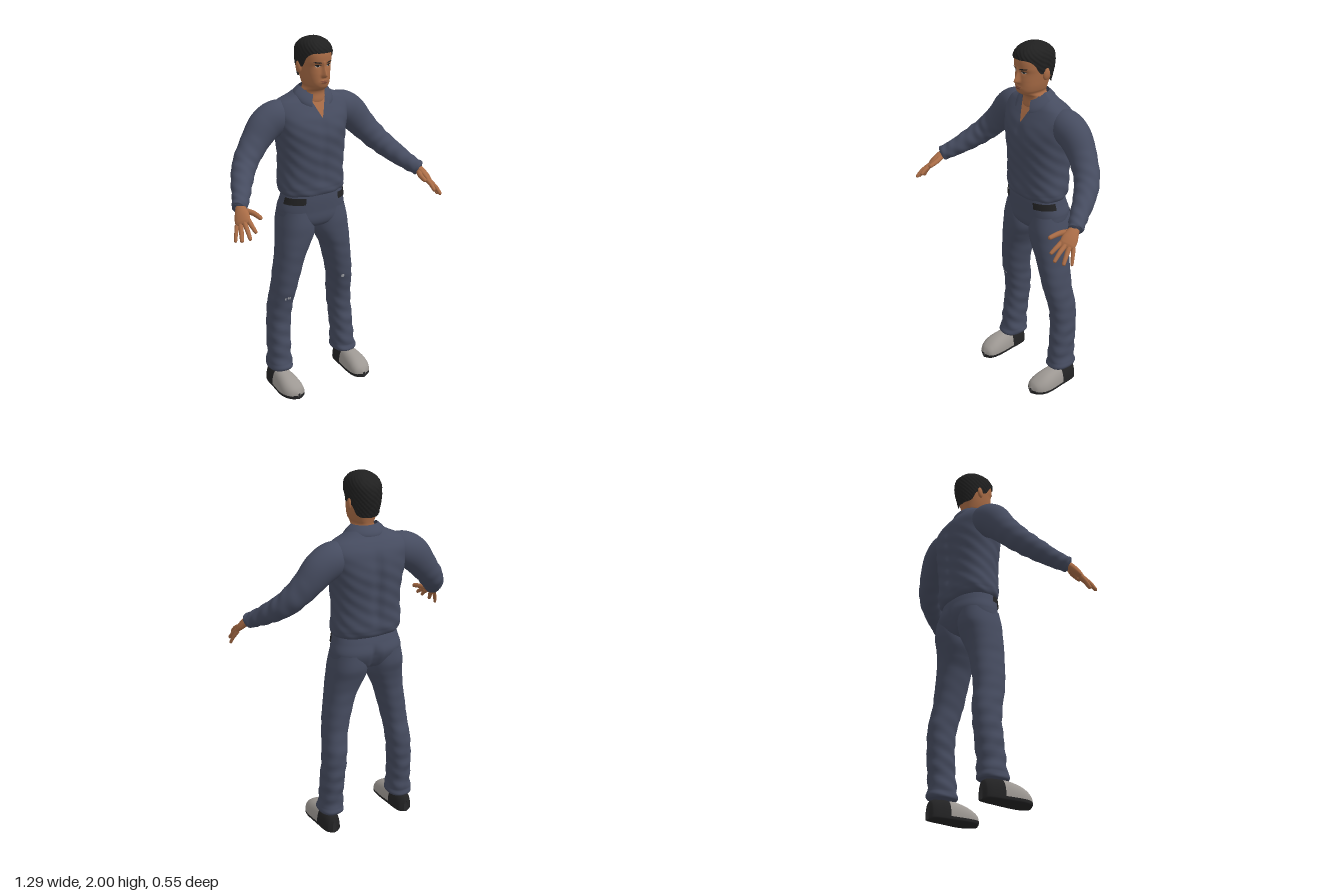
import * as THREE from 'three';
import { ParametricGeometry } from 'three/addons/geometries/ParametricGeometry.js';

const mat = (name, color) => new THREE.MeshStandardMaterial({ name, color, side: THREE.DoubleSide });
const { clamp, smoothstep } = THREE.MathUtils;
const V = (x, y, z) => new THREE.Vector3(x, y, z);
const bell = (d, w) => Math.exp(-(d / w) * (d / w));
const E = 0.85; // squareness of the cross-sections

// Smoothly interpolates a table whose first column ascends
function rowAt(rows, y) {
  let i = 0;
  while (i < rows.length - 2 && y > rows[i + 1][0]) i++;
  const p = rows[i], q = rows[i + 1];
  const a = rows[Math.max(i - 1, 0)], b = rows[Math.min(i + 2, rows.length - 1)];
  const h = q[0] - p[0], t = clamp((y - p[0]) / h, 0, 1);
  return p.map((_, k) => {
    const m0 = (q[k] - a[k]) / (q[0] - a[0]) * h, m1 = (b[k] - p[k]) / (b[0] - p[0]) * h;
    return (2 * t ** 3 - 3 * t * t + 1) * p[k] + (t ** 3 - 2 * t * t + t) * m0
      + (3 * t * t - 2 * t ** 3) * q[k] + (t ** 3 - t * t) * m1;
  });
}
const rowPosition = (rows, v) => {
  const s = v * (rows.length - 1), i = Math.min(Math.floor(s), rows.length - 2);
  return rows[i][0] + (rows[i + 1][0] - rows[i][0]) * (s - i);
};

// Body form from rows of [y, half width, front z, back z, centre x]; angle 0 faces front
function form(rows, mod, side = 1) {
  const point = (angle, y, off = 0) => {
    const [, rx, f, b, cx = 0] = rowAt(rows, y), s = Math.sin(angle), c = Math.cos(angle);
    const p = V(cx * side + (rx + off) * Math.sign(s) * Math.abs(s) ** E, y,
      (f + b) / 2 + ((f - b) / 2 + off) * Math.sign(c) * Math.abs(c) ** E);
    if (mod) mod(p, angle);
    return p;
  };
  const angleAt = (x, y) => {
    const [, rx, , , cx = 0] = rowAt(rows, y), k = (x - cx * side) / rx;
    return Math.sign(k) * Math.asin(Math.min(1, Math.abs(k) ** (1 / E)));
  };
  return { rows, point, front: (x, y, off) => point(angleAt(x, y), y, off) };
}
const surface = (fn, nu, nv) => new ParametricGeometry((u, v, t) => t.copy(fn(u, v)), nu, nv);
const skinOf = (f, nu = 64, per = 6) =>
  surface((u, v) => f.point(u * Math.PI * 2, rowPosition(f.rows, v)), nu, per * (f.rows.length - 1));
// Thin oval lying on the front of a form
const decal = (f, x, y, w, h, off = 0.002, tilt = 0) => surface((u, v) => {
  const a = -u * Math.PI * 2, r = 0.02 + 0.98 * v, dx = w * r * Math.cos(a);
  return f.front(x + dx, y + h * r * Math.sin(a) + tilt * dx, off);
}, 20, 4);
// Limb along a curve; each point is [x, y, z, radius along ref, other radius]
function limb(pts, ref, side, nu = 32, nv = 48, mod) {
  const curve = new THREE.CatmullRomCurve3(pts.map(p => V(p[0] * side, p[1], p[2])));
  const radii = pts.map((p, i) => [i, p[3], p[4] ?? p[3]]);
  const r0 = V(ref[0] * side, ref[1], ref[2]);
  return surface((u, v) => {
    const t = curve.getTangent(v), b = r0.clone().addScaledVector(t, -t.dot(r0)).normalize();
    const n = t.clone().cross(b), a = u * Math.PI * 2;
    const [, ra, rb] = rowAt(radii, v * (pts.length - 1));
    const k = mod ? mod(v, a) : 0;
    return curve.getPoint(v).addScaledVector(b, (ra + k) * Math.cos(a)).addScaledVector(n, (rb + k) * Math.sin(a));
  }, nu, nv);
}

const HEAD = [[1.6, .06, -.05, -.16], [1.66, .064, -.035, -.16], [1.715, .06, -.034, -.155], [1.737, .052, .004, -.155],
  [1.755, .06, .015, -.158], [1.78, .067, .017, -.164], [1.81, .072, .016, -.175], [1.85, .077, .013, -.185],
  [1.88, .079, .02, -.188], [1.93, .077, .015, -.185], [1.96, .06, -.01, -.16], [1.98, .01, -.08, -.1]];
const HAIR = [[1.74, .062, -.03, -.165], [1.8, .077, .004, -.182], [1.85, .083, .019, -.196], [1.9, .086, .027, -.203],
  [1.94, .083, .024, -.197], [1.97, .068, .002, -.17], [1.99, .04, -.035, -.13], [2, .003, -.08, -.088]];
const HAIRLINE = [[0, 1.925], [40, 1.922], [62, 1.9], [78, 1.852], [92, 1.845], [108, 1.835], [125, 1.79], [180, 1.775]];
const SHIRT = [[1.147, .15, -.02, -.2], [1.152, .18, .004, -.23], [1.19, .191, .012, -.25], [1.23, .19, .012, -.255],
  [1.3, .185, .016, -.258], [1.4, .19, .022, -.265], [1.5, .204, .024, -.272], [1.57, .22, .006, -.264],
  [1.62, .225, -.02, -.25], [1.66, .195, -.042, -.225], [1.69, .13, -.055, -.2], [1.72, .08, -.055, -.18]];
const PELVIS = [[.94, .02, -.08, -.15], [.965, .12, -.025, -.2], [1, .185, -.002, -.228], [1.06, .197, .002, -.25],
  [1.12, .183, .005, -.236], [1.17, .172, .003, -.22]];
const LEG = [[.105, .03, -.09, -.15, .218], [.112, .066, -.04, -.198, .218], [.15, .066, -.044, -.2, .217],
  [.2, .062, -.05, -.2, .215], [.3, .062, -.06, -.21, .212], [.4, .064, -.068, -.216, .205], [.5, .064, -.058, -.218, .197],
  [.6, .066, -.034, -.2, .185], [.7, .072, -.02, -.198, .168], [.8, .079, -.01, -.2, .147], [.86, .091, -.004, -.206, .13],
  [.92, .102, -.001, -.22, .112], [.98, .1, 0, -.237, .107], [1.06, .09, -.01, -.235, .1]];
const SHOE = [[-.2, .23, .012, .07], [-.185, .23, .038, .1], [-.13, .23, .052, .116], [-.08, .23, .056, .118],
  [-.03, .23, .062, .112], [.02, .23, .065, .1], [.06, .227, .06, .082], [.09, .223, .042, .06], [.105, .222, .008, .035]];

export function createModel() {
  const M = {
    cloth: mat('navy cloth', 0x464c60), skin: mat('skin', 0xa96c46), hair: mat('black hair', 0x202020),
    belt: mat('black leather', 0x232324), shoe: mat('grey shoe', 0x9d9893), lips: mat('lips', 0x834c38),
    white: mat('eye white', 0xb5aaa2), patch: mat('worn cloth', 0xaeb0b6)
  };
  const model = new THREE.Group();
  const add = (name, geo, material, parent = model) => {
    const mesh = new THREE.Mesh(geo, material);
    mesh.name = name;
    parent.add(mesh);
    return mesh;
  };

  // Shirt with spine groove and soft folds
  const shirt = form(SHIRT, (p, a) => {
    const mid = smoothstep(p.y, 1.16, 1.3) * (1 - smoothstep(p.y, 1.5, 1.66));
    if (Math.cos(a) < 0) p.z += 0.018 * bell(p.x, .03) * mid;
    else p.z -= 0.006 * bell(p.x, .025) * mid;
    const fold = 0.0035 * Math.sin(a * 7 + p.y * 30) * Math.sin(p.y * 52 + a * 2) * (1 - smoothstep(p.y, 1.45, 1.65));
    p.x += fold * Math.sin(a);
    p.z += fold * Math.cos(a);
  });
  add('shirt', skinOf(shirt, 96), M.cloth);
  add('neckOpening', surface((u, v) =>
    shirt.front((u * 2 - 1) * (.002 + .046 * v), 1.58 + .105 * v, .004), 10, 12), M.skin);
  // Folded collar, open at the front
  add('collar', surface((u, v) => {
    const a = .5 + u * (Math.PI * 2 - 1), s = Math.sin(a), c = Math.cos(a), f = Math.max(0, c);
    const out = Math.sin(v * Math.PI / 2);
    return V(s * (.072 + .04 * out), 1.738 - .042 * f - v * (.05 + .012 * f),
      -.1 + c * ((c > 0 ? .072 : .07) + (c > 0 ? .028 : .036) * out));
  }, 60, 6), M.cloth);

  // Trousers seat, with belt showing at both front corners
  const pelvis = form(PELVIS, (p, a) => { if (Math.cos(a) < 0) p.z += .02 * bell(p.x, .02) * (1 - smoothstep(p.y, 1.04, 1.12)); });
  add('trouserSeat', skinOf(pelvis), M.cloth);

  // Head with nose and eye sockets
  const head = form(HEAD, (p, a) => {
    if (Math.cos(a) <= 0) return;
    p.z += .03 * bell(p.x, .007 + .005 * clamp((1.87 - p.y) / .06, 0, 1)) * smoothstep(p.y, 1.792, 1.808) * clamp((1.885 - p.y) / .075, 0, 1);
    p.z -= .006 * bell(Math.abs(p.x) - .032, .015) * bell(p.y - 1.858, .011);
    p.z += .005 * bell(p.x, .022) * bell(p.y - 1.773, .009);
  });
  add('head', skinOf(head, 180), M.skin);
  add('upperLip', decal(head, 0, 1.7775, .022, .0035), M.lips);
  add('lowerLip', decal(head, 0, 1.77, .018, .004), M.lips);
  const hair = form(HAIR);
  add('hair', surface((u, v) => {
    const a = u * Math.PI * 2, deg = Math.abs(u <= .5 ? u : 1 - u) * 360;
    const h = rowAt(HAIRLINE, deg)[1], y = h + (2 - h) * Math.sin(v * Math.PI / 2);
    const tuft = .002 * Math.sin(a * 17 + y * 90) * Math.sin(y * 160 + a * 5) * (1 - v * v);
    return hair.point(a, y, tuft);
  }, 120, 32), M.hair);

  const palmAcross = [.05, -.03, -.035];
  const fingers = {
    index: [[.562, 1.186, .19], [.563, 1.165, .232], [.56, 1.143, .264]],
    middle: [[.582, 1.174, .19], [.592, 1.147, .238], [.597, 1.117, .272]],
    ring: [[.598, 1.164, .178], [.614, 1.131, .212], [.626, 1.1, .238]],
    little: [[.61, 1.158, .16], [.627, 1.122, .18], [.639, 1.088, .195]],
    thumb: [[.556, 1.215, .13], [.528, 1.212, .175], [.515, 1.2, .235]]
  };

  for (const side of [1, -1]) {
    const label = side > 0 ? 'left' : 'right';
    const group = name => {
      const g = new THREE.Group();
      g.name = label + name;
      model.add(g);
      return g;
    };
    // Face details
    const face = group('FaceSide');
    add('eye', decal(head, side * .032, 1.857, .013, .0055, .0015), M.white, face);
    add('iris', decal(head, side * .031, 1.857, .0058, .0052, .003), M.hair, face);
    add('eyelid', decal(head, side * .032, 1.8625, .0155, .0022, .003), M.hair, face);
    add('eyebrow', decal(head, side * .034, 1.876, .02, .0038, .002, side * .12), M.hair, face);
    const ear = add('ear', new THREE.SphereGeometry(1, 20, 14), M.skin, face);
    ear.scale.set(.012, .032, .019);
    ear.position.set(side * .082, 1.842, -.1);
    ear.rotation.set(-.15, side * -.3, 0);

    // Sleeve
    const arm = group('Arm');
    add('sleeve', limb([[.11, 1.59, -.135, .06], [.19, 1.583, -.14, .09, .085], [.265, 1.545, -.142, .092, .082],
      [.34, 1.465, -.13, .077, .072], [.42, 1.375, -.09, .066, .066], [.475, 1.315, -.025, .058, .058],
      [.53, 1.258, .06, .046, .046], [.568, 1.227, .113, .039, .037], [.572, 1.224, .118, .022, .02]],
      [.7, .7, 0], side, 40, 80, (v, a) => .0025 * Math.sin(v * 75 + 2 * Math.sin(a)) * Math.sin(a * 2 + v * 9)
        * smoothstep(v, .3, .5) * (1 - smoothstep(v, .9, 1))), M.cloth, arm);

    // Hand
    const hand = group('Hand');
    add('palm', limb([[.55, 1.24, .09, .024, .02], [.567, 1.221, .125, .03, .021], [.578, 1.198, .155, .04, .02],
      [.587, 1.176, .18, .04, .015], [.591, 1.168, .19, .028, .008], [.592, 1.166, .192, .003]], palmAcross, side), M.skin, hand);
    for (const [name, p] of Object.entries(fingers)) {
      const r = name === 'thumb' ? .014 : name === 'little' ? .0095 : .0115;
      const tip = p[2].map((c, i) => c + (c - p[1][i]) * .12);
      add(name + 'Finger', limb([[...p[0], r * 1.15], [...p[1], r], [...p[2], r * .75], [...tip, .001]],
        palmAcross, side, 14, 20), M.skin, hand);
    }

    // Trouser leg with folds at the ankle and a worn knee
    const leg = form(LEG, (p, a) => {
      const low = 1 - smoothstep(p.y, .15, .75);
      const fold = (.001 + .003 * low) * Math.sin(p.y * 70 + 2 * Math.sin(a + side)) * Math.sin(a * 2 + p.y * 14)
        * smoothstep(p.y, .105, .13) * (1 - smoothstep(p.y, .8, .95));
      p.x += fold * Math.sin(a);
      p.z += fold * Math.cos(a);
    }, side);
    const legGroup = group('Leg');
    add('trouserLeg', skinOf(leg, 56), M.cloth, legGroup);
    if (side > 0) add('wornKnee', decal(leg, .16, .615, .009, .011), M.patch, legGroup);
    else for (const [x, y] of [[-.212, .558], [-.197, .563], [-.186, .56]])
      add('wornKnee', decal(leg, x, y, .005, .009), M.patch, legGroup);
    add('belt', surface((u, v) => {
      const a = side > 0 ? .5 + u * .93 : -1.43 + u * .93;
      return pelvis.point(a, 1.106 + .038 * v, .006);
    }, 20, 4), M.belt, legGroup);

    // Shoe: grey front, black heel and sole
    const shoe = group('Shoe');
    const shell = (z0, z1) => surface((u, v) => {
      const [z, cx, w, h] = rowAt(SHOE, z0 + (z1 - z0) * v), a = u * Math.PI;
      const up = Math.sin(a) ** .9;
      return V(cx * side + w * Math.sign(Math.cos(a)) * Math.abs(Math.cos(a)) ** .8, .02 + (h - .02) * up, z);
    }, 32, 30);
    add('upper', shell(-.088, .105), M.shoe, shoe);
    add('heel', shell(-.2, -.088), M.belt, shoe);
    add('sole', surface((u, v) => {
      const [z, cx, w] = rowAt(SHOE, -.2 + .305 * v), a = Math.PI * (1 + u), c = Math.cos(a);
      return V(cx * side + (w + .001) * Math.sign(c) * Math.abs(c) ** .5, .024 - .024 * Math.abs(Math.sin(a)) ** .4, z);
    }, 32, 40), M.belt, shoe);
  }
  return model;
}
